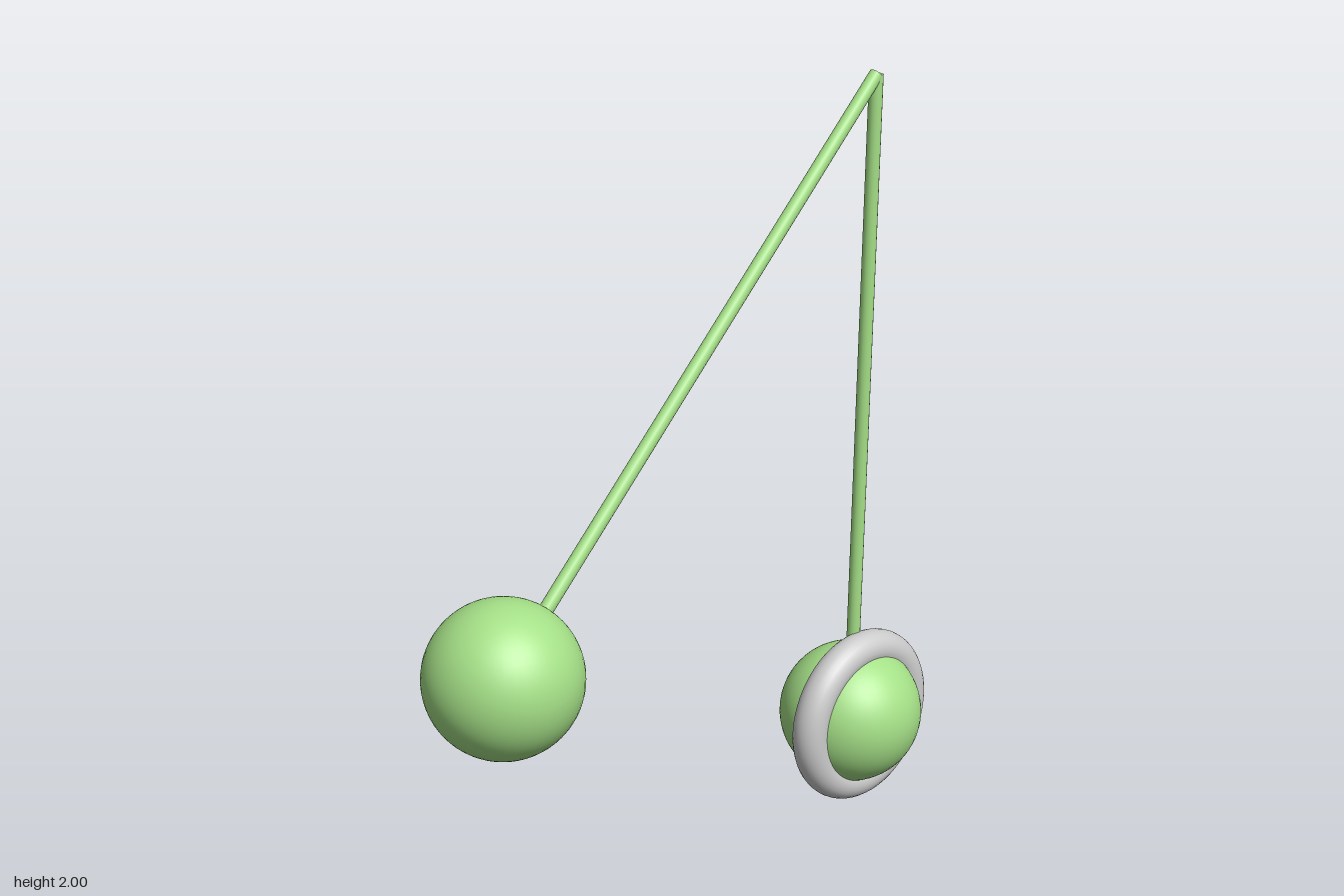
import * as THREE from 'three';

const green = new THREE.MeshStandardMaterial({ color: 0xa5e087 });
const grey = new THREE.MeshStandardMaterial({ color: 0xcccccc });

export function createModel() {
  const model = new THREE.Group();
  model.name = 'pendulumPair';

  const add = (name, geometry, material, position) => {
    const mesh = new THREE.Mesh(geometry, material);
    mesh.name = name;
    mesh.position.copy(position);
    model.add(mesh);
    return mesh;
  };

  // Shared pivot and the two ball centres
  const pivot = new THREE.Vector3(0.593, 1.987, 0.017);
  const bobs = {
    swung: new THREE.Vector3(-0.642, 0.757, 0.017),
    hanging: new THREE.Vector3(0.593, 0.243, -0.017),
  };

  // Each pendulum: a ball and a thin rod running from the pivot to its centre
  for (const [name, centre] of Object.entries(bobs)) {
    add(name + 'Ball', new THREE.SphereGeometry(0.192, 48, 32), green, centre);
    const direction = pivot.clone().sub(centre);
    const rod = add(name + 'Rod', new THREE.CylinderGeometry(0.018, 0.018, direction.length(), 16),
      green, pivot.clone().add(centre).multiplyScalar(0.5));
    rod.quaternion.setFromUnitVectors(new THREE.Vector3(0, 1, 0), direction.normalize());
  }

  // Ring around the hanging ball
  add('ring', new THREE.TorusGeometry(0.192, 0.048, 24, 64), grey, new THREE.Vector3(0.593, 0.243, 0.017));

  return model;
}
